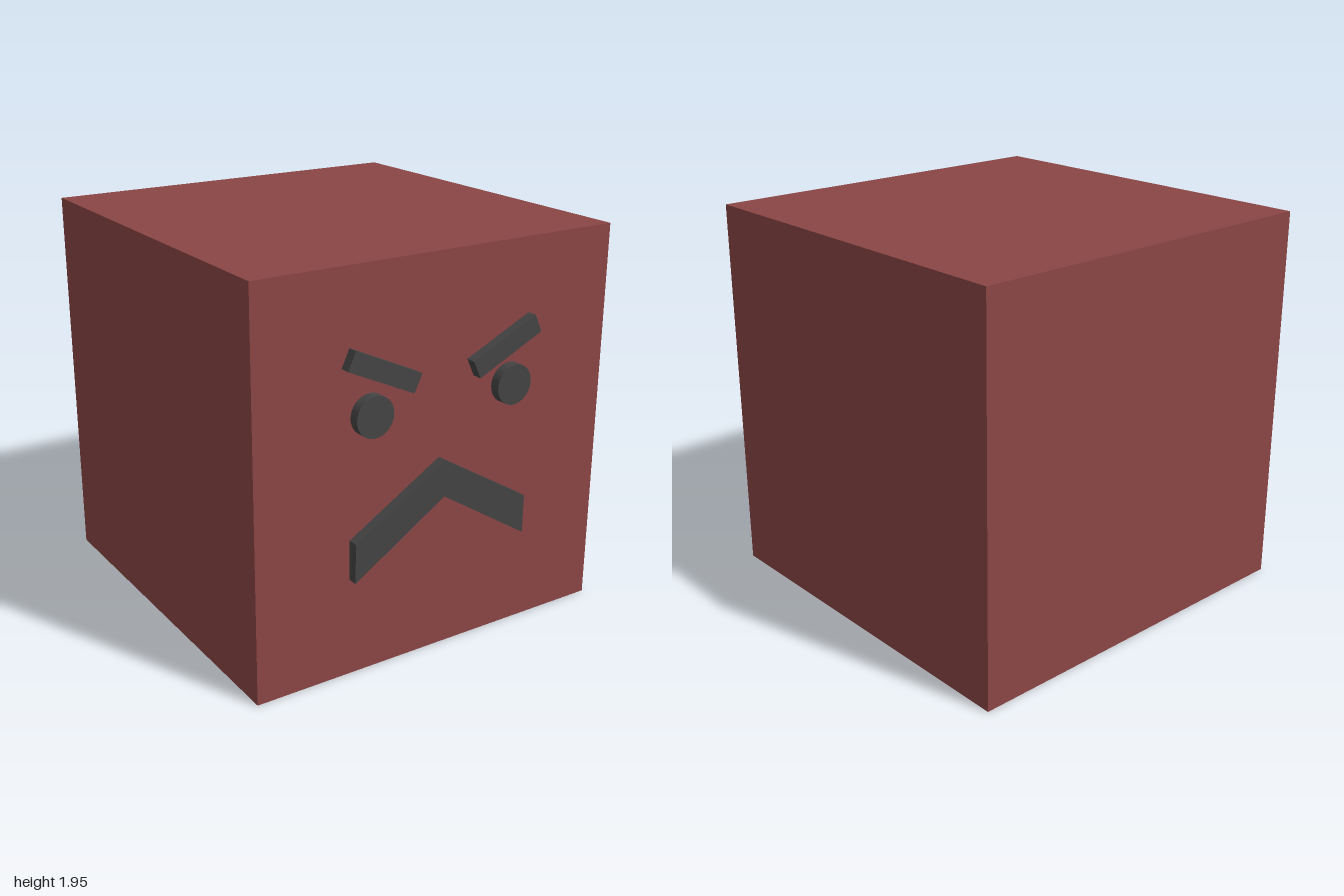
import * as THREE from 'three';

const SIZE = 1.95, FACE_Z = 0.95, RELIEF = 0.05;

export function createModel() {
  const model = new THREE.Group();
  const red = new THREE.MeshStandardMaterial({ color: 0x8b4545 });
  const dark = new THREE.MeshStandardMaterial({ color: 0x444444 });

  const add = (name, geometry, material, x, y, z) => {
    const mesh = new THREE.Mesh(geometry, material);
    mesh.name = name;
    mesh.position.set(x, y, z);
    model.add(mesh);
    return mesh;
  };

  // Cube head, set back so the raised features reach z = 1
  add('head', new THREE.BoxGeometry(SIZE, SIZE, SIZE), red, 0, SIZE / 2, FACE_Z - SIZE / 2);

  // Round eyes and slanted brows, mirrored
  const eye = new THREE.CylinderGeometry(0.098, 0.098, RELIEF, 32).rotateX(Math.PI / 2);
  const brow = new THREE.BoxGeometry(0.387, 0.095, RELIEF);
  const featureZ = FACE_Z + RELIEF / 2;
  for (const [side, s] of [['left', 1], ['right', -1]]) {
    add(side + 'Eye', eye, dark, s * 0.39, 1.27, featureZ);
    add(side + 'Brow', brow, dark, s * 0.34, 1.465, featureZ).rotation.z = s * THREE.MathUtils.degToRad(25);
  }

  // Frowning chevron mouth
  const mouth = new THREE.Shape([
    [0, 0.98], [-0.488, 0.685], [-0.488, 0.49], [0, 0.8], [0.488, 0.49], [0.488, 0.685],
  ].map(([x, y]) => new THREE.Vector2(x, y)));
  add('mouth', new THREE.ExtrudeGeometry(mouth, { depth: RELIEF, bevelEnabled: false }), dark, 0, 0, FACE_Z);

  return model;
}
